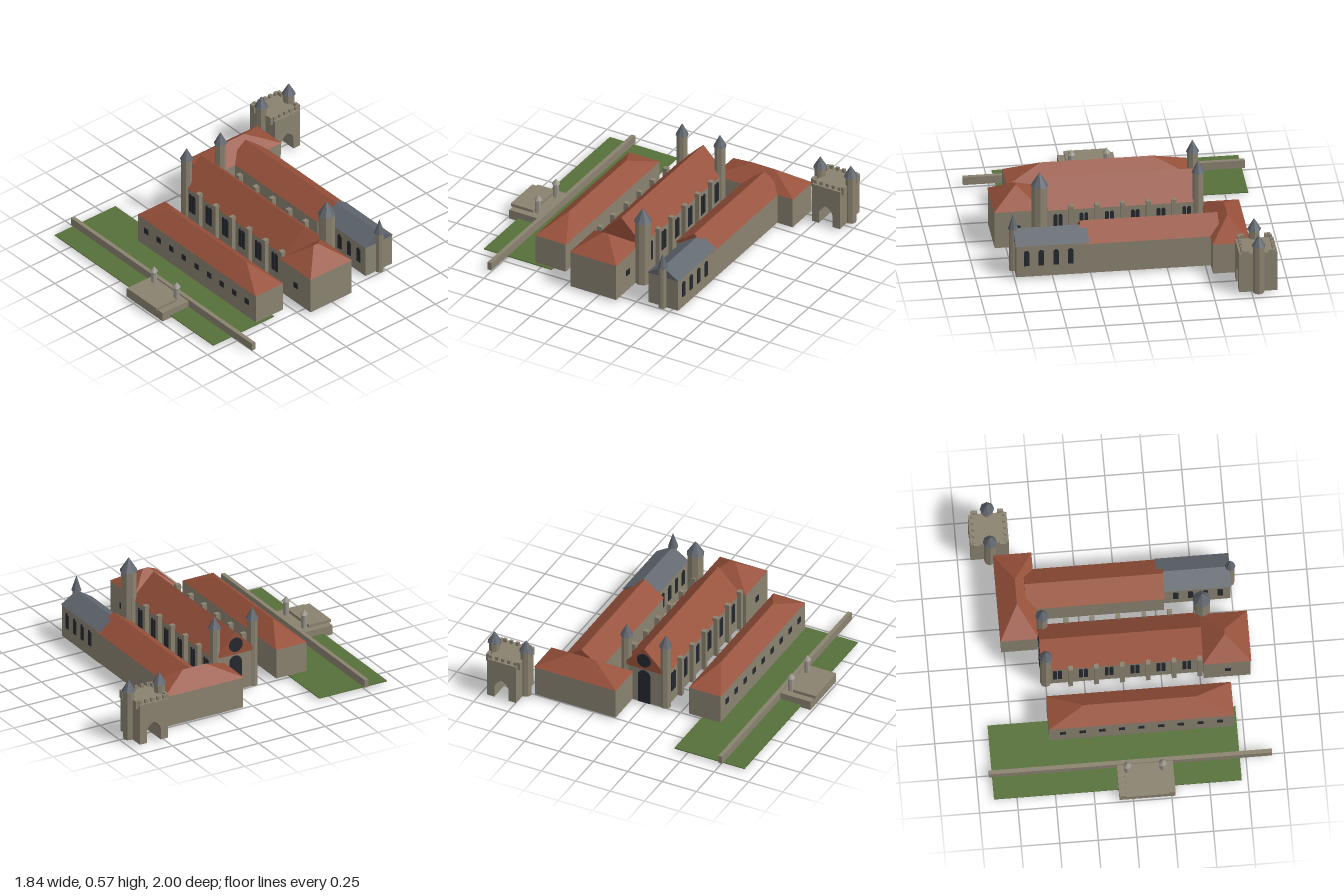
import * as THREE from 'three';
import { ConvexGeometry } from 'three/addons/geometries/ConvexGeometry.js';

const mat = (color) => new THREE.MeshStandardMaterial({ color, flatShading: true, roughness: 0.9 });
const G = 0.02; // ground level of the buildings

export function createModel() {
  const model = new THREE.Group();
  const stone = mat(0x8a8270), tile = mat(0x96503a), slate = mat(0x60666e);
  const grass = mat(0x567039), dark = mat(0x24282e), pale = mat(0x9a968c);

  const add = (name, geo, material, parent = model) => {
    const m = new THREE.Mesh(geo, material);
    m.name = name;
    parent.add(m);
    return m;
  };
  const group = (name) => {
    const g = new THREE.Group();
    g.name = name;
    model.add(g);
    return g;
  };
  // box given by its limits on each axis
  const box = (name, x0, x1, y0, y1, z0, z1, material, parent) => {
    const m = add(name, new THREE.BoxGeometry(x1 - x0, y1 - y0, z1 - z0), material, parent);
    m.position.set((x0 + x1) / 2, (y0 + y1) / 2, (z0 + z1) / 2);
    return m;
  };
  // roof over a rectangle, with a ridge between two points [x, z]
  const roof = (name, x0, x1, z0, z1, y0, y1, ridge, material, parent) => {
    const pts = [[x0, z0], [x1, z0], [x1, z1], [x0, z1]].map(([x, z]) => new THREE.Vector3(x, y0, z));
    ridge.forEach(([x, z]) => pts.push(new THREE.Vector3(x, y1, z)));
    return add(name, new ConvexGeometry(pts), material, parent);
  };
  // octagonal tower with a pointed cap
  const turret = (name, x, z, r, capR, y0, y1, tip, parent, body = stone, cap = slate) => {
    const shaft = add(name, new THREE.CylinderGeometry(r, r, y1 - y0, 8), body, parent);
    shaft.position.set(x, (y0 + y1) / 2, z);
    const cone = add(name + 'Cap', new THREE.ConeGeometry(capR, tip - y1, 8), cap, parent);
    cone.position.set(x, (y1 + tip) / 2, z);
  };
  // round-headed panel, width across x, thin along z
  const archShape = (w, h) => {
    const s = new THREE.Shape();
    s.moveTo(-w / 2, 0);
    s.lineTo(w / 2, 0);
    s.lineTo(w / 2, h - w / 2);
    s.absarc(0, h - w / 2, w / 2, 0, Math.PI, false);
    s.closePath();
    return s;
  };
  const archWindow = (name, w, h, x, y, z, parent) => {
    const geo = new THREE.ExtrudeGeometry(archShape(w, h), { depth: 0.01, bevelEnabled: false, curveSegments: 4 });
    geo.translate(0, 0, -0.005);
    const m = add(name, geo, dark, parent);
    m.position.set(x, y, z);
    return m;
  };

  // lawn, garden wall and terrace
  box('lawn', -0.9, 0.71, 0.014, G, 0.41, 0.92, grass);
  box('gardenWall', -0.92, 0.92, G, 0.075, 0.74, 0.768, stone);
  const terrace = group('terrace');
  box('terraceBase', -0.09, 0.275, 0, 0.065, 0.75, 0.985, stone, terrace);
  box('terraceTop', -0.045, 0.23, 0.065, 0.085, 0.835, 1, stone, terrace);
  for (const x of [-0.025, 0.205]) turret('pillar', x, 0.81, 0.02, 0.027, 0.065, 0.16, 0.195, terrace, pale, pale);

  // long front range
  const front = group('frontRange');
  box('frontWalls', -0.51, 0.69, G, 0.225, 0.317, 0.545, stone, front);
  roof('frontRoof', -0.51, 0.69, 0.315, 0.547, 0.225, 0.32, [[-0.275, 0.43], [0.455, 0.43]], tile, front);
  for (let i = 0; i < 9; i++) {
    const x = -0.42 + i * 0.1275;
    box('frontWindow', x - 0.02, x + 0.02, 0.12, 0.16, 0.54, 0.55, dark, front);
  }

  // church nave with buttresses, paired windows and towers
  const church = group('church');
  box('naveWalls', -0.525, 0.53, G, 0.28, -0.155, 0.155, stone, church);
  roof('naveRoof', -0.53, 0.52, -0.16, 0.16, 0.28, 0.44, [[-0.53, 0], [0.52, 0]], tile, church);
  for (const s of [-1, 1]) {
    for (let i = 0; i < 6; i++) {
      const x = -0.34 + i * 0.168;
      box('buttress', x - 0.015, x + 0.015, G, 0.315, s * 0.168 - 0.017, s * 0.168 + 0.017, stone, church);
      for (const d of [-0.1, -0.068]) archWindow('naveWindow', 0.025, 0.14, x + d, 0.11, s * 0.157, church);
    }
    turret('westTower', -0.5, s * 0.142, 0.036, 0.044, G, 0.49, 0.575, church);
  }
  turret('eastTower', 0.54, -0.175, 0.053, 0.06, G, 0.48, 0.575, church);
  const rose = add('roseWindow', new THREE.CylinderGeometry(0.05, 0.05, 0.012, 16), dark, church);
  rose.rotation.z = Math.PI / 2;
  rose.position.set(-0.53, 0.35, 0);
  archWindow('westPortal', 0.09, 0.25, -0.527, G, 0, church).rotation.y = Math.PI / 2;

  // square block at the east end of the nave
  const east = group('eastBlock');
  box('eastWalls', 0.522, 0.828, G, 0.28, -0.143, 0.2, stone, east);
  roof('eastRoof', 0.518, 0.832, -0.146, 0.203, 0.28, 0.395, [[0.672, 0.01], [0.672, 0.045]], tile, east);
  for (const z of [-0.143, 0.2]) box('eastWindow', 0.66, 0.7, 0.135, 0.175, z - 0.006, z + 0.006, dark, east);

  // west wing
  const west = group('westWing');
  box('westWalls', -0.77, -0.53, G, 0.235, -0.67, -0.085, stone, west);
  roof('westRoof', -0.775, -0.525, -0.677, -0.08, 0.235, 0.335, [[-0.65, -0.465], [-0.65, -0.295]], tile, west);

  // north wing
  const north = group('northWing');
  box('northWalls', -0.585, 0.305, G, 0.235, -0.555, -0.29, stone, north);
  roof('northRoof', -0.59, 0.31, -0.562, -0.285, 0.235, 0.338, [[-0.59, -0.425], [0.31, -0.425]], tile, north);

  // chapel with slate roof and end turret
  const chapel = group('chapel');
  box('chapelWalls', 0.27, 0.74, G, 0.245, -0.557, -0.335, stone, chapel);
  roof('chapelRoof', 0.265, 0.745, -0.564, -0.33, 0.245, 0.32, [[0.265, -0.445], [0.745, -0.445]], slate, chapel);
  turret('chapelTurret', 0.748, -0.445, 0.027, 0.034, G, 0.32, 0.425, chapel);
  for (const z of [-0.558, -0.334])
    for (let i = 0; i < 4; i++) archWindow('chapelWindow', 0.035, 0.11, 0.385 + i * 0.096, 0.1, z, chapel);

  // gatehouse: side wall with an arched passage running along x
  const gate = group('gatehouse');
  const side = new THREE.Shape();
  side.moveTo(-0.105, 0);
  side.lineTo(-0.052, 0);
  side.lineTo(-0.052, 0.08);
  side.quadraticCurveTo(-0.045, 0.12, 0, 0.14);
  side.quadraticCurveTo(0.045, 0.12, 0.052, 0.08);
  side.lineTo(0.052, 0);
  side.lineTo(0.105, 0);
  side.lineTo(0.105, 0.28);
  side.lineTo(-0.105, 0.28);
  const gateGeo = new THREE.ExtrudeGeometry(side, { depth: 0.25, bevelEnabled: false, curveSegments: 5 });
  gateGeo.translate(0, 0, -0.125).rotateY(Math.PI / 2);
  add('gateWalls', gateGeo, stone, gate).position.set(-0.79, G, -0.84);
  for (const s of [-1, 1]) {
    turret('gateTurret', -0.79, -0.84 + s * 0.115, 0.037, 0.047, G, 0.36, 0.44, gate);
    const mx = -0.79 + s * 0.104;
    for (let i = 0; i < 5; i++) {
      const z = -0.93 + i * 0.045;
      box('merlon', mx - 0.008, mx + 0.008, 0.295, 0.325, z - 0.011, z + 0.011, stone, gate);
    }
    // corner merlons stepping out past the end walls
    for (const t of [-1, 1]) {
      const z = -0.84 + t * 0.113, x = -0.79 + s * 0.085;
      box('cornerMerlon', x - 0.02, x + 0.02, 0.27, 0.325, z - 0.01, z + 0.01, stone, gate);
    }
  }
  return model;
}
